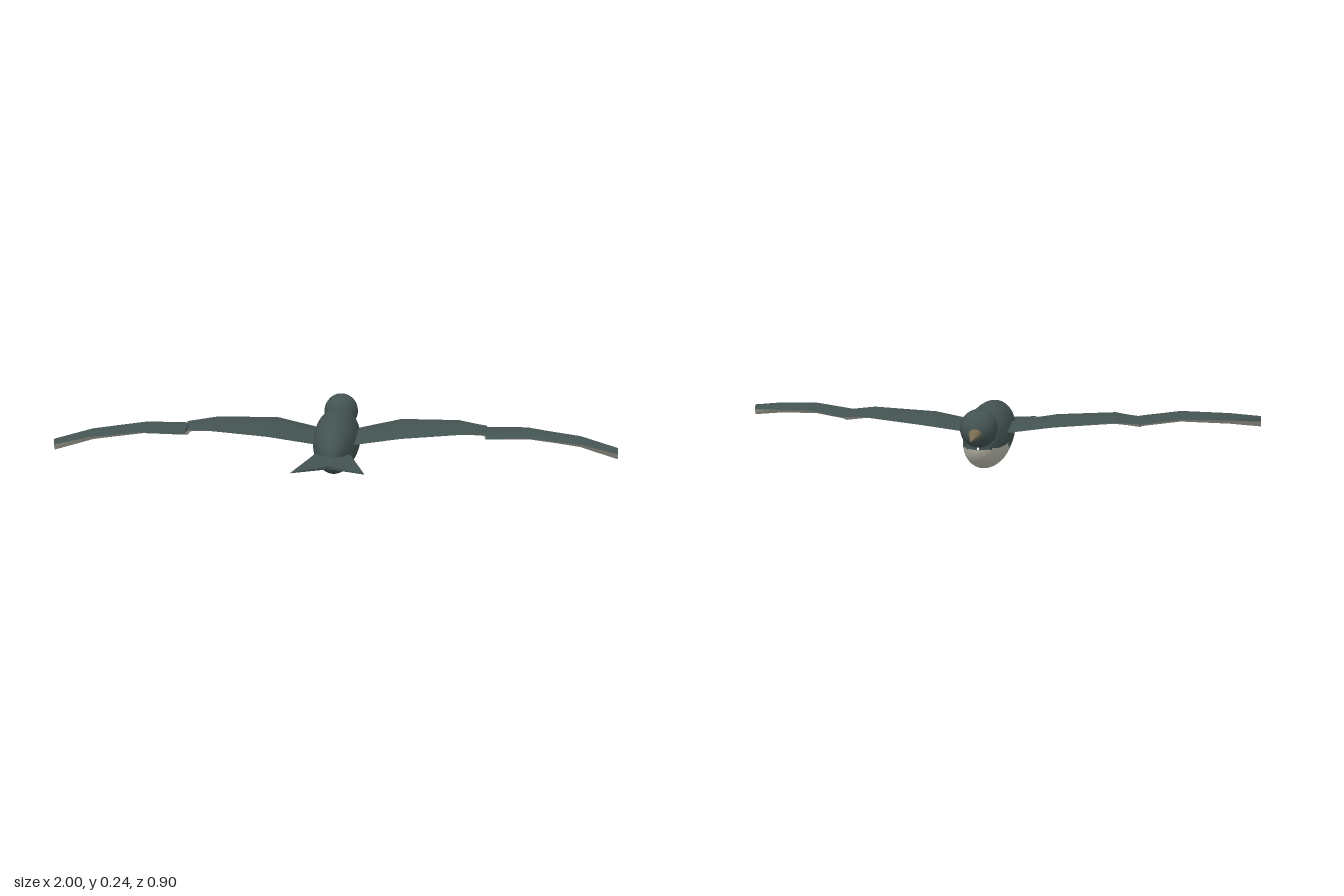
import * as THREE from 'three';
import { mergeVertices } from 'three/addons/utils/BufferGeometryUtils.js';

const slate = new THREE.MeshStandardMaterial({ color: 0x435352, name: 'slate plumage' });
const cream = new THREE.MeshStandardMaterial({ color: 0xb8b8aa, name: 'cream plumage' });
const horn = new THREE.MeshStandardMaterial({ color: 0x7a6b52, name: 'horn beak' });

// Skin rows of [x, y, z] points; pick(centre) chooses the material slot of each quad.
function loft(rows, pick = () => 0) {
  const n = rows[0].length;
  const slots = [[], []];
  for (let i = 0; i < rows.length - 1; i++) {
    for (let j = 0; j < n - 1; j++) {
      const a = i * n + j, b = a + 1, c = a + n, d = c + 1;
      const quad = [rows[i][j], rows[i][j + 1], rows[i + 1][j], rows[i + 1][j + 1]];
      const centre = [0, 1, 2].map(k => quad.reduce((s, p) => s + p[k], 0) / 4);
      slots[pick(centre)].push(a, b, c, b, d, c);
    }
  }
  let geo = new THREE.BufferGeometry();
  geo.setAttribute('position', new THREE.Float32BufferAttribute(rows.flat(2), 3));
  geo.setIndex([...slots[0], ...slots[1]]);
  geo.addGroup(0, slots[0].length, 0);
  geo.addGroup(slots[0].length, slots[1].length, 1);
  geo = mergeVertices(geo, 1e-5);
  geo.computeVertexNormals();
  return geo;
}

function add(parent, name, geo, material) {
  const mesh = new THREE.Mesh(geo, material);
  mesh.name = name;
  parent.add(mesh);
  return mesh;
}

// Body: oval rings along a side profile of (z, top, bottom)
function makeBody() {
  const profile = new THREE.CatmullRomCurve3([
    [-0.29, 0.11, 0.1], [-0.285, 0.14, 0.085], [-0.27, 0.165, 0.06], [-0.24, 0.187, 0.033],
    [-0.18, 0.207, 0.014], [-0.08, 0.226, 0.003], [0, 0.23, 0.009], [0.09, 0.226, 0.02],
    [0.155, 0.213, 0.033], [0.22, 0.183, 0.058], [0.255, 0.155, 0.088], [0.268, 0.122, 0.118],
  ].map(p => new THREE.Vector3(...p)));
  const rings = profile.getPoints(66).map(({ x: z, y: top, z: bottom }) => {
    const h = (top - bottom) / 2, mid = (top + bottom) / 2;
    return Array.from({ length: 49 }, (_, j) => {
      const t = (j / 48) * Math.PI * 2;
      return [0.77 * h * Math.sin(t), mid - h * Math.cos(t), z];
    });
  });
  const last = rings[rings.length - 1];
  rings.push(last.map(() => [0, 0.12, 0.269]));
  // pale breast patch below a curved line
  const isBelly = ([, y, z]) =>
    z < 0.025 && y < Math.min(0.1, 0.1 * Math.sqrt((0.025 - z) / 0.17)) ? 1 : 0;
  return loft(rings, isBelly);
}

// Wing panels: sections of [x, leading z, trailing z, mid height]
const innerWing = [
  [0.03, -0.12, 0.13, 0.13], [0.1, -0.142, 0.142, 0.143], [0.24, -0.177, 0.155, 0.167],
  [0.46, -0.113, 0.13, 0.18], [0.557, -0.052, 0.07, 0.168],
];
const outerWing = [
  [0.548, -0.06, 0.137, 0.166], [0.7, 0.003, 0.173, 0.18],
  [0.88, 0.095, 0.203, 0.167], [1, 0.222, 0.243, 0.146],
];

function addWingPanel(parent, name, sections, side) {
  for (const up of [1, -1]) {
    const material = up > 0 ? slate : cream;
    const label = name + (up > 0 ? 'Upper' : 'Under');
    const row = ([x, lead, trail, y], flat) => {
      const points = [0, 0.25, 0.5, 0.75, 1].map(u => [
        side * x,
        y + (flat ? 0 : up * 0.02 * [0, 0.62, 1, 0.62, 0][u * 4]),
        lead + (trail - lead) * u,
      ]);
      return side * up > 0 ? points : points.reverse();
    };
    const first = sections[0], last = sections[sections.length - 1];
    add(parent, label, loft(sections.map(s => row(s))), material);
    add(parent, label + 'RootCap', loft([row(first, true), row(first)]), material);
    add(parent, label + 'TipCap', loft([row(last), row(last, true)]), material);
  }
}

// Half of the forked tail: thick at the middle of the root, thin at the tip
function addTailHalf(parent, side) {
  for (const up of [1, -1]) {
    const rows = [
      [[0, 0.114 + up * 0.017, 0.2], [0, 0.112 + up * 0.006, 0.365]],
      [[side * 0.064, 0.113 + up * 0.004, 0.2], [side * 0.125, 0.112 + up * 0.001, 0.445]],
    ];
    if (side * up < 0) rows.forEach(r => r.reverse());
    add(parent, up > 0 ? 'tailUpper' : 'tailUnder', loft(rows), slate);
  }
  // thin edge closing the fork
  const edge = [1, -1].map(up => [
    [0, 0.112 + up * 0.006, 0.365], [side * 0.125, 0.112 + up * 0.001, 0.445],
  ]);
  if (side > 0) edge.reverse();
  add(parent, 'tailEdge', loft(edge), slate);
}

export function createModel() {
  const bird = new THREE.Group();
  bird.name = 'bird';

  add(bird, 'body', makeBody(), [slate, cream]);

  // Head and beak
  const head = add(bird, 'head', new THREE.SphereGeometry(1, 32, 20), slate);
  head.scale.set(0.066, 0.068, 0.083);
  head.position.set(0, 0.175, -0.272);
  const beak = add(bird, 'beak', new THREE.ConeGeometry(0.025, 0.11, 16), horn);
  beak.scale.z = 0.75;
  beak.rotation.x = -Math.PI / 2 - 0.12;
  beak.position.set(0, 0.162, -0.396);

  for (const side of [1, -1]) {
    const wing = new THREE.Group();
    wing.name = side > 0 ? 'leftWing' : 'rightWing';
    addWingPanel(wing, 'innerWing', innerWing, side);
    addWingPanel(wing, 'outerWing', outerWing, side);
    bird.add(wing);

    const tail = new THREE.Group();
    tail.name = side > 0 ? 'leftTail' : 'rightTail';
    addTailHalf(tail, side);
    bird.add(tail);
  }
  return bird;
}
